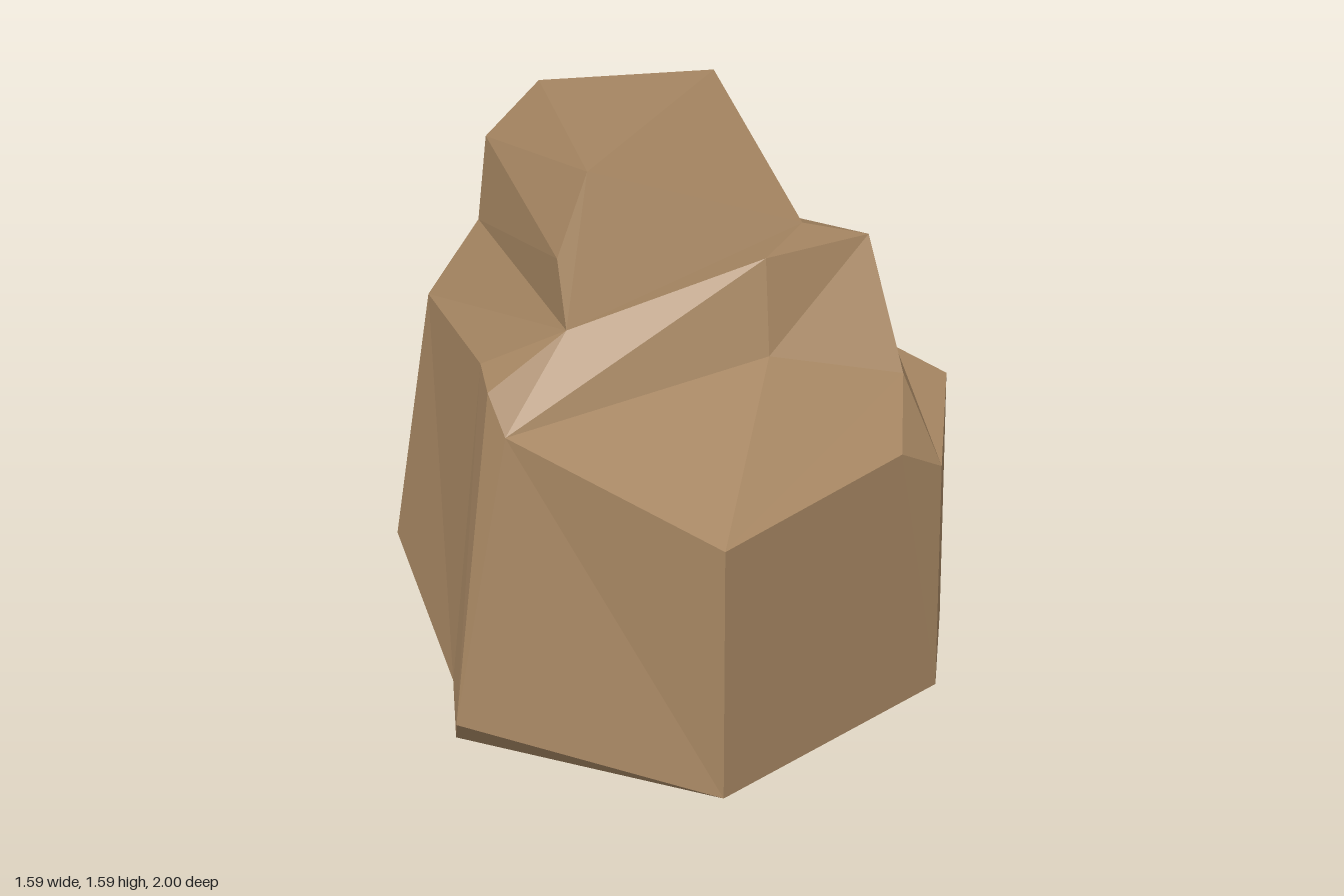
import * as THREE from 'three';

// Corner points of the boulder, grouped by height
const P = {
  // foot wedge
  f1: [-0.66, 0, 0.42], f2: [0.67, 0, 0.24],
  // ground outline
  a: [0.03, 0.14, 1], b: [0.70, 0.14, 0.51], c: [0.79, 0.14, 0.13], d: [0.65, 0.14, -0.54],
  e: [0.48, 0.14, -0.67], f: [0.43, 0.14, -0.95], g: [0.08, 0.14, -1], h: [-0.76, 0.14, -0.81],
  i: [-0.80, 0.14, -0.54], k: [-0.66, 0.14, 0.34], j: [-0.66, 0.14, 0.57],
  // shoulder
  A: [0.03, 0.88, 0.98], B1: [0.56, 0.92, 0.58], B2: [0.69, 0.83, 0.49], C: [0.775, 0.93, 0.12],
  D: [0.64, 0.70, -0.48], E: [0.46, 0.80, -0.61], F: [0.42, 0.69, -0.95], G: [0.08, 0.88, -1],
  H: [-0.60, 0.88, -0.81], I: [-0.67, 0.93, -0.59], K: [-0.55, 1.12, 0.31], J: [-0.54, 1.12, 0.49],
  // foot of the middle tier
  U1: [-0.50, 1.02, 0.56], U2: [0.23, 1.12, 0.35], U3: [0.61, 1.03, 0.31], U4: [0.63, 1.01, 0.10],
  N: [0.43, 0.91, -0.67], S: [0.18, 1.135, -0.75], L: [-0.51, 1.15, -0.63],
  // rim of the middle tier
  V1: [-0.32, 1.23, 0.36], V2: [0.23, 1.37, 0.26], V3: [0.54, 1.36, 0.10], T: [0.43, 1.13, -0.60],
  R: [0.27, 1.37, -0.72], X: [-0.48, 1.415, -0.63], W1: [-0.335, 1.40, 0.27],
  // crown
  W2: [-0.24, 1.59, 0.13], W3: [0.37, 1.36, 0], Y: [0.21, 1.565, -0.715], Z: [-0.32, 1.59, -0.61],
};

// Cross-sections from bottom to top, each running front, +x side, back, -x side
const rings = [
  'f1 f2 f2 f2 c d e f g h i k f1',
  'j a b b c d e f g h i k j',
  'U1 A B1 B2 C D E F G H I K J',
  'U1 U2 U3 U3 U4 E E N S L L V1 V1',
  'V1 V2 V3 V3 V3 T T T R X X W1 V1',
  'W2 W3 W3 W3 W3 W3 W3 W3 Y Z Z W2 W2',
].map((r) => r.split(' '));

function rockGeometry() {
  const pos = [];
  const tri = (a, b, c) => {
    if (a === b || b === c || a === c) return;
    pos.push(...P[a], ...P[b], ...P[c]);
  };
  const fan = (...ids) => {
    for (let n = 1; n < ids.length - 1; n++) tri(ids[0], ids[n], ids[n + 1]);
  };
  // Skin between neighbouring cross-sections
  for (let r = 0; r < rings.length - 1; r++) {
    const lo = rings[r], hi = rings[r + 1], count = lo.length;
    for (let n = 0; n < count; n++) {
      const m = (n + 1) % count;
      if (r === 1) { // lower walls split along the other diagonal
        tri(lo[n], lo[m], hi[n]);
        tri(lo[m], hi[m], hi[n]);
      } else {
        tri(lo[n], lo[m], hi[m]);
        tri(lo[n], hi[m], hi[n]);
      }
    }
  }
  // Crown top, underside and back of the foot wedge
  fan('W2', 'W3', 'Y', 'Z');
  fan('k', 'i', 'h', 'g', 'f', 'e', 'd', 'c');
  fan('k', 'c', 'f2', 'f1');

  const geo = new THREE.BufferGeometry();
  geo.setAttribute('position', new THREE.Float32BufferAttribute(pos, 3));
  geo.computeVertexNormals();
  return geo;
}

export function createModel() {
  const stone = new THREE.MeshStandardMaterial({ color: 0xa68662, flatShading: true });
  stone.name = 'brown stone';
  const boulder = new THREE.Mesh(rockGeometry(), stone);
  boulder.name = 'boulder';
  const group = new THREE.Group();
  group.name = 'rock';
  group.add(boulder);
  return group;
}
